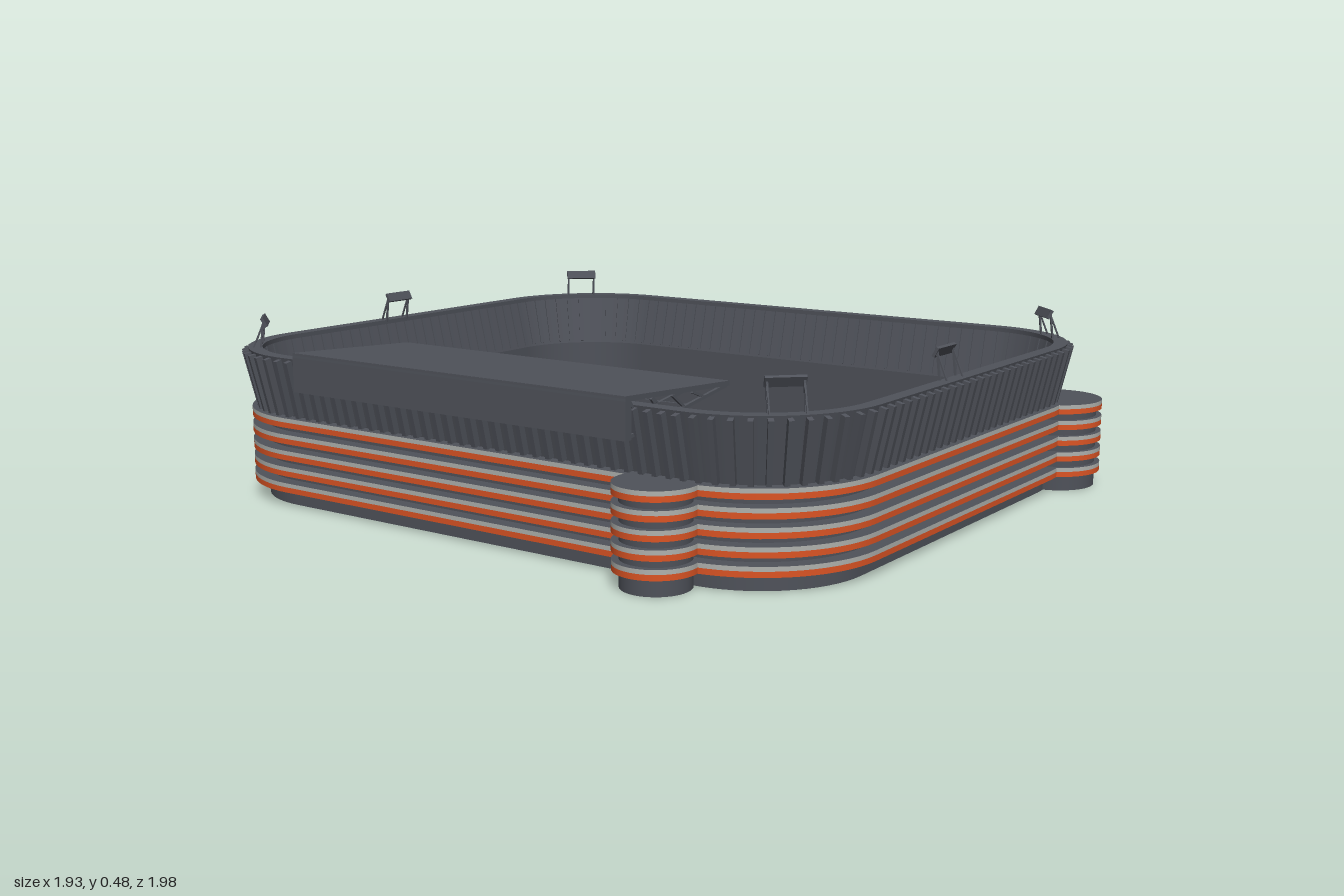
import * as THREE from 'three';
import { mergeGeometries } from 'three/addons/utils/BufferGeometryUtils.js';

const mat = (name, color) => {
  const m = new THREE.MeshStandardMaterial({ color });
  m.name = name;
  return m;
};

// Rounded-rectangle outline: points with outward normals, running from +x towards +z
function outline(cx, cz, hx, hz, r, cornerSegs, nx = 1, nz = 1) {
  const pts = [];
  const centres = [[1, 1], [-1, 1], [-1, -1], [1, -1]];
  for (let c = 0; c < 4; c++) {
    const px = cx + centres[c][0] * (hx - r), pz = cz + centres[c][1] * (hz - r);
    for (let i = 0; i <= cornerSegs; i++) {
      const a = (c + i / cornerSegs) * Math.PI / 2, ux = Math.cos(a), uz = Math.sin(a);
      pts.push({ x: px + ux * r, z: pz + uz * r, ux, uz });
    }
    // points along the straight that follows the corner
    const n = c % 2 ? nz : nx, p = pts[pts.length - 1];
    const len = 2 * (c % 2 ? hz - r : hx - r);
    for (let i = 1; i < n; i++) {
      pts.push({ x: p.x - p.uz * len * i / n, z: p.z + p.ux * len * i / n, ux: p.ux, uz: p.uz });
    }
  }
  return pts;
}

// Sweep a profile of [offset, y] points around an outline; each profile edge stays crisp
function sweep(path, profile) {
  const pos = [], nor = [], idx = [];
  for (let e = 0; e < profile.length - 1; e++) {
    const [d0, y0] = profile[e], [d1, y1] = profile[e + 1];
    const l = Math.hypot(d1 - d0, y1 - y0), nd = (y1 - y0) / l, ny = (d0 - d1) / l;
    const base = pos.length / 3, n = path.length;
    path.forEach((p, i) => {
      for (const [d, y] of [profile[e], profile[e + 1]]) {
        pos.push(p.x + p.ux * d, y, p.z + p.uz * d);
        nor.push(p.ux * nd, ny, p.uz * nd);
      }
      const a = base + i * 2, b = base + ((i + 1) % n) * 2;
      idx.push(a, a + 1, b, b, a + 1, b + 1);
    });
  }
  const g = new THREE.BufferGeometry();
  g.setAttribute('position', new THREE.Float32BufferAttribute(pos, 3));
  g.setAttribute('normal', new THREE.Float32BufferAttribute(nor, 3));
  g.setIndex(idx);
  return g;
}

// Square bar between two points
function bar(a, b, t, w = t) {
  const va = new THREE.Vector3(...a), vb = new THREE.Vector3(...b);
  const dir = vb.clone().sub(va), len = dir.length();
  const g = new THREE.BoxGeometry(t, len, w);
  g.applyQuaternion(new THREE.Quaternion().setFromUnitVectors(new THREE.Vector3(0, 1, 0), dir.normalize()));
  const mid = va.add(vb).multiplyScalar(0.5);
  return g.translate(mid.x, mid.y, mid.z);
}

export function createModel() {
  const model = new THREE.Group();
  model.name = 'stadium';
  const grey = mat('slate grey', 0x4f525a);
  const silver = mat('silver', 0xb0b2ae);
  const orange = mat('orange', 0xdc5424);
  const add = (name, geo, material, parent = model) => {
    const m = new THREE.Mesh(geo, material);
    m.name = name;
    parent.add(m);
    return m;
  };

  const CX = -0.042, CZ = -0.02, HX = 0.77, HZ = 0.91, R = 0.28, H = 0.24;
  const ring = outline(CX, CZ, HX, HZ, R, 16);

  // Five horizontal ledges with a silver edge above an orange one
  function ledges(path, depth, parent) {
    const top = [], edge = [], under = [];
    for (let i = 0; i < 5; i++) {
      const y = 0.041 + i * 0.0435, mid = y + 0.014, up = y + 0.025;
      under.push(sweep(path, [[-0.004, y], [depth, y], [depth, mid]]));
      edge.push(sweep(path, [[depth, mid], [depth, up]]));
      top.push(sweep(path, [[depth, up], [-0.004, up]]));
    }
    add('ledgeTops', mergeGeometries(top), grey, parent);
    add('ledgeSilverEdges', mergeGeometries(edge), silver, parent);
    add('ledgeOrangeEdges', mergeGeometries(under), orange, parent);
  }

  // Lower wall
  const lower = new THREE.Group();
  lower.name = 'lowerWall';
  model.add(lower);
  add('wall', sweep(ring, [[-0.008, 0], [0, 0], [0, H], [-0.008, H], [-0.008, 0]]), grey, lower);
  ledges(ring, 0.038, lower);

  // Flared upper wall with a flat rim
  add('upperWall', sweep(ring, [[-0.008, H], [0.006, H], [0.043, 0.4], [0.005, 0.4],
    [0.005, 0.388], [0.028, 0.388], [-0.008, H]]), grey);

  // Leaning fins all around the upper wall
  const fins = outline(CX, CZ, HX, HZ, R, 12, 26, 33).map((p) =>
    new THREE.BoxGeometry(0.013, 0.156, 0.034)
      .rotateX(0.23)
      .rotateY(Math.atan2(p.ux, p.uz))
      .translate(p.x + p.ux * 0.025, 0.319, p.z + p.uz * 0.025));
  add('fins', mergeGeometries(fins), grey);

  // Round stair towers
  for (const [name, x, z, r, depth] of [
    ['rearTower', 0.862, -0.57, 0.086, 0.02],
    ['sideTower', -0.865, 0.56, 0.083, 0.017],
    ['frontTower', 0.6, 0.867, 0.112, 0.014]]) {
    const tower = new THREE.Group();
    tower.name = name;
    model.add(tower);
    add('towerBody', new THREE.CylinderGeometry(r, r, H, 48).translate(x, H / 2, z), grey, tower);
    ledges(outline(x, z, r, r, r, 12), depth, tower);
  }

  // Stand roof with triangular trusses
  const roof = new THREE.Group();
  roof.name = 'standRoof';
  model.add(roof);
  const Z0 = -0.555, Z1 = 0.5, zm = (Z0 + Z1) / 2;
  add('roofSlab', bar([-0.895, 0.42, zm], [-0.485, 0.397, zm], 0.012, Z1 - Z0), grey, roof);
  add('roofFascia', new THREE.BoxGeometry(0.022, 0.1, Z1 - Z0).translate(-0.884, 0.375, zm), grey, roof);
  const bars = [];
  const N = 15;
  for (let i = 0; i < N; i++) {
    const z = Z0 + 0.008 + (Z1 - Z0 - 0.016) * i / (N - 1);
    bars.push(bar([-0.88, 0.33, z], [-0.49, 0.392, z], 0.008));
    for (let k = 0; k < 4; k++) {
      const x = -0.82 + k * 0.08, low = 0.33 + (x + 0.88) * 0.159;
      bars.push(bar([x, low, z], [x - 0.05, 0.411 - (x + 0.845) * 0.056, z], 0.006));
    }
  }
  for (const x of [-0.8, -0.65, -0.5]) {
    const y = 0.33 + (x + 0.88) * 0.159;
    bars.push(bar([x, y, Z0 + 0.005], [x, y, Z1 - 0.005], 0.007));
  }
  add('roofTrusses', mergeGeometries(bars), grey, roof);

  // Floodlight frames on the rim, turned towards the field
  const frame = mergeGeometries([
    new THREE.BoxGeometry(0.094, 0.026, 0.008).rotateX(0.5).translate(0, 0.467, -0.004),
    ...[-1, 1].flatMap((s) => [
      bar([s * 0.042, 0.39, 0.008], [s * 0.042, 0.475, -0.002], 0.005),
      bar([s * 0.042, 0.39, 0.03], [s * 0.042, 0.462, 0], 0.004),
    ]),
  ]);
  const q = Math.SQRT1_2, kx = HX - R + R * q, kz = HZ - R + R * q;
  const spots = [];
  for (const s of [-1, 1]) {
    spots.push([-0.093, s * HZ, 0, s], [kx, s * kz, q, s * q], [-kx, s * kz, -q, s * q]);
  }
  for (const [x, z, ux, uz] of spots) {
    const light = add('floodlightFrame', frame, grey);
    light.position.set(CX + x, 0, CZ + z);
    light.rotation.y = Math.atan2(ux, uz);
  }
  return model;
}
